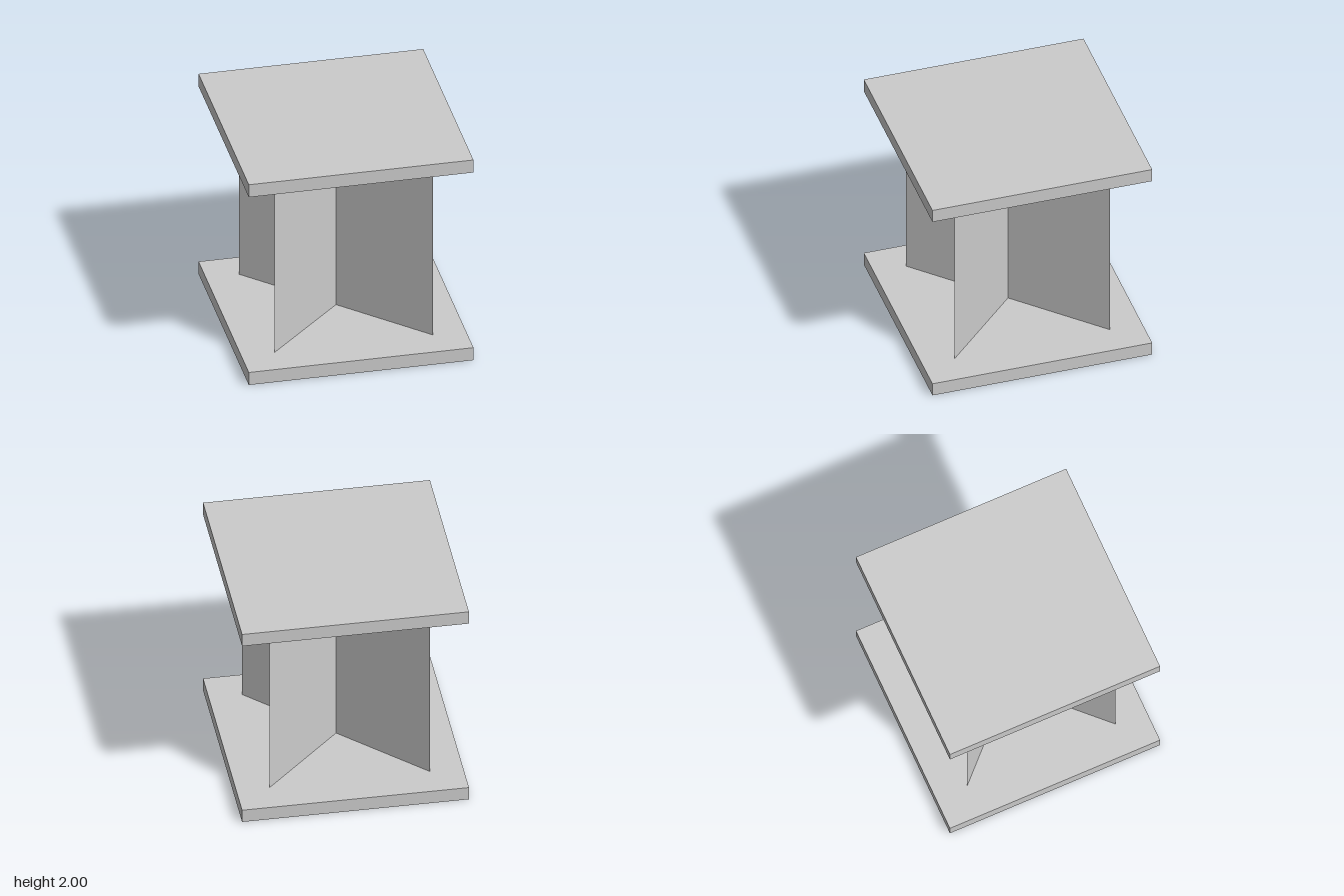
import * as THREE from 'three';

export function createModel() {
  const model = new THREE.Group();
  const solid = new THREE.MeshStandardMaterial({ color: 0xcccccc, flatShading: true });
  const sheet = new THREE.MeshStandardMaterial({ color: 0xcccccc, side: THREE.DoubleSide });

  const slab = 0.125; // plate thickness
  const gap = 2 - 2 * slab; // clear height between the plates

  // Square plates at the bottom and top
  for (const [name, y] of [['basePlate', slab / 2], ['topPlate', 2 - slab / 2]]) {
    const plate = new THREE.Mesh(new THREE.BoxGeometry(2, slab, 2), solid);
    plate.name = name;
    plate.position.y = y;
    model.add(plate);
  }

  // Two thin upright panels crossing along the diagonals
  const cross = new THREE.Group();
  cross.name = 'crossedPanels';
  for (const side of [-1, 1]) {
    const panel = new THREE.Mesh(new THREE.PlaneGeometry(2, gap, 2, 1), sheet);
    panel.name = side < 0 ? 'diagonalPanelA' : 'diagonalPanelB';
    panel.position.y = 1;
    panel.rotation.y = side * Math.PI / 4;
    cross.add(panel);
  }
  model.add(cross);

  return model;
}
